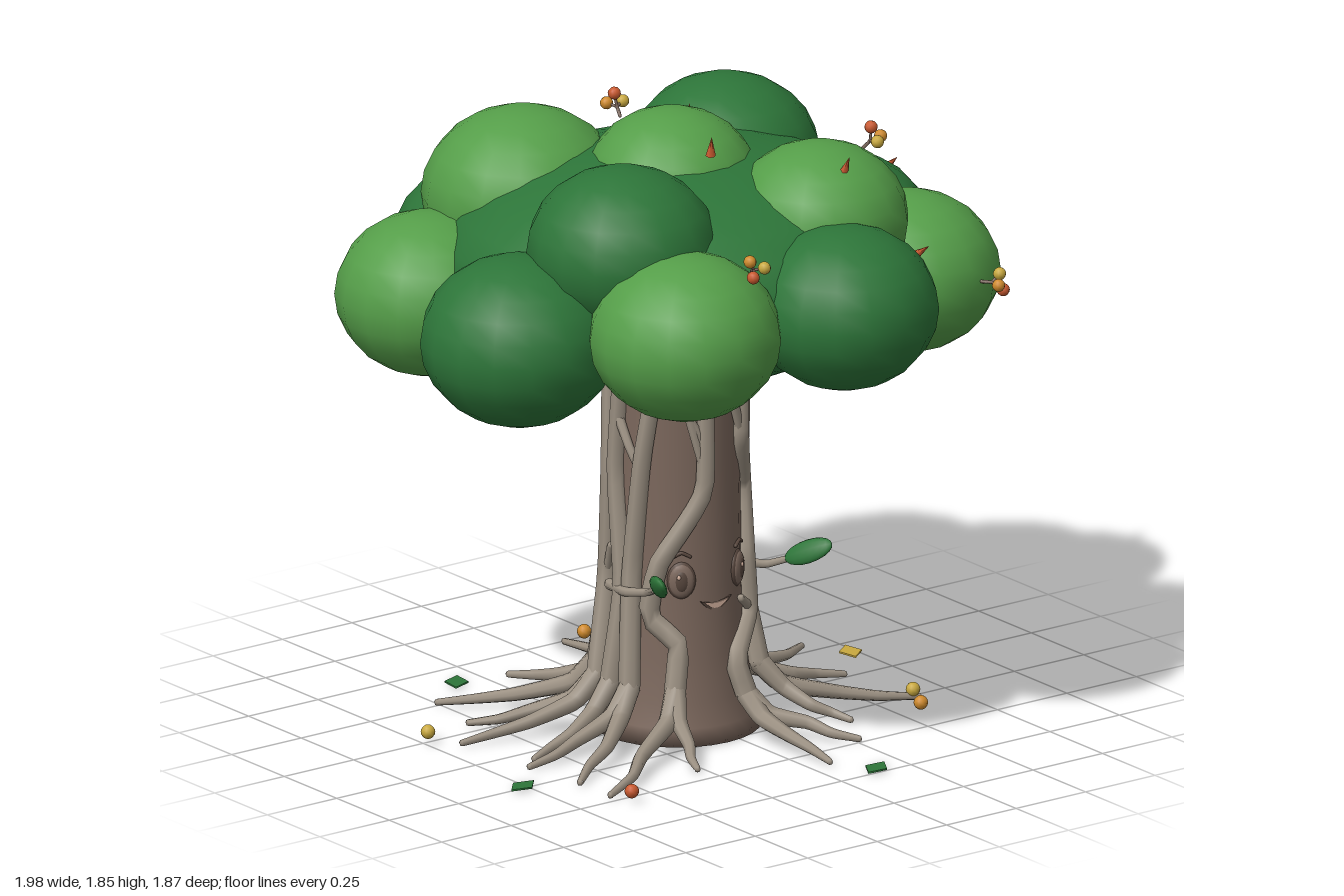
import * as THREE from 'three';

const mat = (name, color) => {
  const m = new THREE.MeshStandardMaterial({ color });
  m.name = name;
  return m;
};
const M = {
  dark: mat('dark green', 0x2d7539), light: mat('light green', 0x559e49),
  trunk: mat('trunk brown', 0x7b675c), vine: mat('vine grey', 0x9c9183),
  eye: mat('eye brown', 0x57463d), pale: mat('mouth cream', 0xdcb8a4),
  red: mat('red fruit', 0xc9592f), orange: mat('orange fruit', 0xcf8a2c),
  yellow: mat('yellow fruit', 0xc9a93f),
};
const V = (x, y, z) => new THREE.Vector3(x, y, z);
const UP = V(0, 1, 0);
const AX = -0.045, AZ = 0.025;               // trunk axis
const trunkR = (y) => 0.18 + 0.065 * Math.exp(-5 * y);
const rad = Math.PI / 180;

// Point around the trunk: angle from the front (+z) towards the left (+x)
const around = (deg, y, r) => V(AX + Math.sin(deg * rad) * r, y, AZ + Math.cos(deg * rad) * r);

function add(parent, name, geo, material, pos) {
  const m = new THREE.Mesh(geo, material);
  m.name = name;
  if (pos) m.position.copy(pos);
  parent.add(m);
  return m;
}

function ball(parent, name, material, pos, sx, sy = sx, sz = sx, w = 10, h = 8) {
  const m = add(parent, name, new THREE.SphereGeometry(1, w, h), material, pos);
  m.scale.set(sx, sy, sz);
  return m;
}

// Tube along points, thinning from r0 to r1
function taper(parent, name, points, r0, r1, material = M.vine, seg = points.length * 4) {
  const curve = new THREE.CatmullRomCurve3(points, false, 'catmullrom', 0.25);
  const sides = 7, geo = new THREE.TubeGeometry(curve, seg, r0, sides, false);
  const p = geo.attributes.position, v = V(0, 0, 0);
  for (let i = 0; i <= seg; i++) {
    const c = curve.getPointAt(i / seg), f = 1 + (r1 / r0 - 1) * (i / seg);
    for (let j = 0; j <= sides; j++) {
      const k = i * (sides + 1) + j;
      v.fromBufferAttribute(p, k).sub(c).multiplyScalar(f).add(c);
      p.setXYZ(k, v.x, v.y, v.z);
    }
  }
  add(parent, name, geo, material);
  ball(parent, name + 'Tip', material, points[points.length - 1], r1, r1, r1, 6, 4);
  ball(parent, name + 'Start', material, points[0], r0, r0, r0, 6, 4);
}

function buildCanopy(g) {
  ball(g, 'canopyCore', M.dark, V(-0.04, 1.41, 0.02), 0.7, 0.335, 0.68, 24, 14);
  // x, y, z, radius, light?
  [[-0.2, 1.3, -0.66, 0.28, 0], [0.34, 1.28, -0.57, 0.28, 1], [0.63, 1.295, -0.11, 0.288, 0],
   [0.5, 1.355, 0.4, 0.27, 1], [0.08, 1.395, 0.655, 0.275, 0], [-0.42, 1.38, 0.56, 0.28, 1],
   [-0.71, 1.32, 0.155, 0.288, 0], [-0.635, 1.31, -0.37, 0.275, 1],
   [-0.31, 1.55, -0.355, 0.295, 1], [0.325, 1.57, -0.235, 0.278, 0], [0.195, 1.57, 0.385, 0.26, 1],
   [-0.425, 1.57, 0.27, 0.278, 0], [-0.055, 1.63, 0.015, 0.253, 1],
  ].forEach(([x, y, z, r, l], i) => {
    const b = ball(g, 'leafClump', l ? M.light : M.dark, V(x, y, z), r, r * 0.87, r, 16, 12);
    b.rotation.y = i * 0.7;
  });

  // Three-berry clusters on short stems
  [[-0.31, 1.61, 0.75], [0.61, 1.37, 0.69], [0.96, 1.255, -0.1], [0.42, 1.05, -0.34],
   [0.415, 1.765, 0.36], [0.305, 1.17, -0.88], [0.115, 1.71, -0.48],
  ].forEach(([x, y, z], n) => {
    const c = new THREE.Group();
    c.name = 'berryCluster';
    const p = V(x, y, z), out = V(x, (y - 1.38) * 1.5, z).normalize();
    c.position.copy(p);
    c.quaternion.setFromUnitVectors(V(0, 0, 1), out);
    [M.yellow, M.orange, M.red].forEach((m, i) => {
      const a = n + i * 2.09, q = V(Math.cos(a) * 0.027, Math.sin(a) * 0.027, 0.006 * i);
      ball(c, 'berry', m, q, 0.019);
      taper(c, 'berryStem', [V(0, 0, -0.05), V(0, 0, -0.02), q], 0.005, 0.004, M.trunk, 4);
    });
    g.add(c);
  });

  // Small red thorns
  [[-0.08, 1.8, 0.235], [0.18, 1.77, 0.535], [0.32, 1.53, 0.71], [0.87, 1.455, -0.165], [0.365, 1.04, -0.67],
   [0.51, 1.5, -0.51], [0.09, 1.5, -0.68], [0.125, 1.76, -0.14],
  ].forEach(([x, y, z]) => {
    const t = add(g, 'thorn', new THREE.ConeGeometry(0.015, 0.06, 6), M.red, V(x, y, z));
    t.quaternion.setFromUnitVectors(UP, V(x * 0.6, (y - 1.35) * 2, z * 0.6).normalize());
  });
}

function buildTrunk(g) {
  const prof = [new THREE.Vector2(0, 0)];
  for (const y of [0, 0.05, 0.12, 0.25, 0.45, 0.8, 1.3]) prof.push(new THREE.Vector2(trunkR(y), y));
  const t = add(g, 'trunk', new THREE.LatheGeometry(prof, 28), M.trunk, V(AX, 0, AZ));
  t.name = 'trunk';

  // Vines: [angle, height] from canopy to base, then root angle and reach
  const vines = [
    [[[-13, 1.2], [-13, 0.76], [-52, 0.54], [-60, 0.38], [-36, 0.3], [-38, 0.17]], [[-30, 0.48], [-52, 0.74]]],
    [[[35, 1.2], [34, 0.88], [68, 0.7], [52, 0.5], [50, 0.34], [16, 0.23], [18, 0.13]], [[10, 0.6], [32, 0.56]]],
    [[[-50, 1.2], [-68, 0.85], [-78, 0.5], [-72, 0.17]], [[-80, 0.62], [-62, 0.66]]],
    [[[62, 1.2], [70, 0.9], [82, 0.5], [62, 0.17]], [[68, 0.72], [50, 0.5]]],
    [[[112, 1.2], [100, 0.8], [92, 0.45], [102, 0.17]], [[92, 0.62], [114, 0.74]]],
    [[[98, 1.2], [116, 0.75], [128, 0.4], [130, 0.17]], [[134, 0.7]]],
    [[[150, 1.2], [136, 0.8], [152, 0.45], [158, 0.17]], [[150, 0.82], [168, 0.76]]],
    [[[172, 1.2], [188, 0.7], [178, 0.4], [190, 0.17]], [[194, 0.62]]],
    [[[205, 1.2], [196, 0.8], [212, 0.45], [218, 0.17]], [[212, 0.52], [222, 0.7]]],
    [[[228, 1.2], [240, 0.8], [234, 0.45], [250, 0.17]], [[254, 0.66], [238, 0.6]]],
    [[[270, 1.2], [258, 0.8], [272, 0.45], [270, 0.17]], [[276, 0.56]]],
  ];
  for (const [path, roots] of vines) {
    const pts = path.map(([a, y]) => around(a, y, trunkR(y) + (y < 0.2 ? 0.03 : 0.012)));
    taper(g, 'vine', pts, 0.024, 0.033);
    const [a0, y0] = path[path.length - 1];
    for (const [a, reach] of roots) {
      const s = (k) => a0 + (a - a0) * k;
      taper(g, 'root', [pts[pts.length - 1], around(s(0.3), y0 * 0.55, 0.31),
        around(s(0.8), 0.05, 0.31 + (reach - 0.31) * 0.4), around(s(0.8), 0.028, 0.31 + (reach - 0.31) * 0.7),
        around(a, 0.012, reach)], 0.033, 0.01);
    }
  }
  // Thin crossing twigs: angle and height at each end
  [[-28, 1, -14, 0.82], [20, 1.0, 36, 0.86], [62, 0.84, 98, 1.0], [72, 0.98, 112, 0.78], [116, 0.95, 146, 1.1],
   [104, 0.5, 150, 0.46], [150, 0.46, 205, 0.5], [160, 0.98, 192, 0.72], [205, 0.72, 236, 0.95], [214, 0.3, 250, 0.55],
   [-95, 0.95, -68, 0.8], [-14, 0.9, -44, 1.08], [54, 0.34, 28, 0.4], [82, 0.3, 100, 0.6],
  ].forEach(([a, y, b, z]) => {
    const pts = [0, 0.5, 1].map((k) => {
      const h = y + (z - y) * k;
      return around(a + (b - a) * k, h, trunkR(h) + 0.014);
    });
    taper(g, 'twig', pts, 0.015, 0.012);
  });
}

function buildFace(g) {
  for (const s of [-1, 1]) {
    const eye = new THREE.Group();
    eye.name = 'eye';
    const a = s * 33;
    eye.position.copy(around(a, 0.485, trunkR(0.485) - 0.002));
    eye.rotation.y = a * rad;
    ball(eye, 'eyeRim', M.eye, V(0, 0, 0), 0.042, 0.056, 0.014, 18, 12);
    ball(eye, 'eyeball', M.trunk, V(0, 0, 0.004), 0.037, 0.05, 0.014, 18, 12);
    ball(eye, 'pupil', M.eye, V(0, 0, 0.01), 0.022, 0.034, 0.011, 14, 10);
    ball(eye, 'glint', M.pale, V(-0.008, 0.014, 0.019), 0.006, 0.007, 0.004, 8, 6);
    taper(eye, 'eyebrow', [V(-0.025, 0.073, 0.005), V(0, 0.085, 0.007), V(0.025, 0.073, 0.005)], 0.006, 0.005, M.eye);
    g.add(eye);
  }
  const smile = (w, h) => {
    const sh = new THREE.Shape();
    sh.moveTo(-w, 0).quadraticCurveTo(0, -h * 0.5, w, 0).quadraticCurveTo(0, -h * 2, -w, 0);
    return new THREE.ExtrudeGeometry(sh, { depth: 0.006, bevelEnabled: false, curveSegments: 10 });
  };
  const z = AZ + trunkR(0.41);
  add(g, 'mouth', smile(0.055, 0.034), M.eye, V(AX, 0.42, z - 0.006));
  add(g, 'teeth', smile(0.04, 0.022), M.pale, V(AX, 0.415, z - 0.003));

  // Arms, each ending in a leaf
  for (const s of [-1, 1]) {
    const at = (x, y, w) => V(AX + s * x, y, w);
    taper(g, 'arm', [at(0.2, 0.44, -0.03), at(0.225, 0.45, 0.08), at(0.215, 0.47, 0.17), at(0.245, 0.5, 0.24)], 0.017, 0.01);
    const leaf = ball(g, 'armLeaf', M.dark, at(0.27, 0.53, 0.295), 0.018, 0.08, 0.036, 12, 10);
    leaf.quaternion.setFromUnitVectors(UP, V(s * 0.07, 0.06, 0.12).normalize());
  }
}

function buildBugs(g) {
  for (const [a, y] of [[112, 0.61], [207, 0.57]]) {
    const bug = new THREE.Group();
    bug.name = 'bug';
    bug.position.copy(around(a, y, trunkR(y) + 0.04));
    bug.rotation.y = a * rad;
    ball(bug, 'bugBody', M.dark, V(0, -0.008, 0), 0.02, 0.04, 0.016);
    ball(bug, 'bugHead', M.dark, V(0, 0.035, 0), 0.013);
    for (const s of [-1, 1]) for (const h of [-0.025, 0, 0.025])
      add(bug, 'bugLeg', new THREE.BoxGeometry(0.02, 0.004, 0.004), M.dark, V(s * 0.022, h, -0.006));
    g.add(bug);
  }
}

function buildGround(g) {
  [[-0.6, 0.545, 'red'], [0.55, 0.4, 'orange'], [0.605, 0.29, 'yellow'], [0.17, -0.7, 'orange'],
   [-0.74, -0.24, 'yellow']].forEach(([x, z, c]) => ball(g, 'fallenFruit', M[c], V(x, 0.036, z), 0.021));
  // Fallen leaves as thin diamonds
  [[-0.77, 0.25, 'dark', 0.3], [0.72, -0.16, 'yellow', 1.2], [0.14, 0.73, 'dark', 0.5], [-0.35, -0.62, 'dark', 0.9],
  ].forEach(([x, z, c, r]) => {
    const l = add(g, 'fallenLeaf', new THREE.CylinderGeometry(1, 1, 1, 4), M[c], V(x, 0.008, z));
    l.scale.set(0.055, 0.005, 0.034);
    l.rotation.y = r;
  });
}

export function createModel() {
  const g = new THREE.Group();
  g.name = 'tree';
  [buildCanopy, buildTrunk, buildFace, buildBugs, buildGround].forEach((f) => f(g));
  return g;
}
